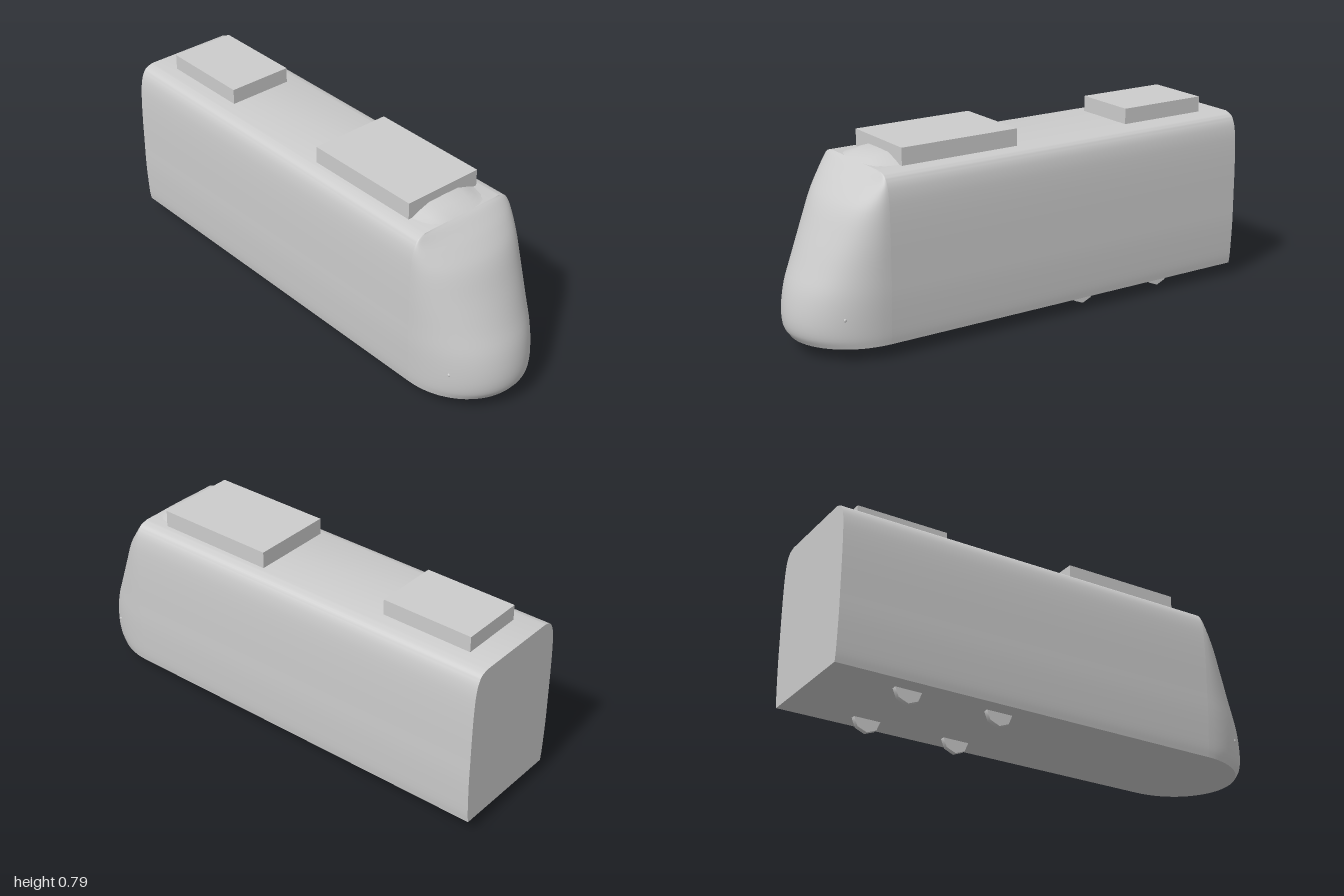
import * as THREE from 'three';
import { toCreasedNormals } from 'three/addons/utils/BufferGeometryUtils.js';

const grey = new THREE.MeshStandardMaterial({ color: 0xcccccc });
grey.name = 'light grey';

const CAB_Z = 0.69;

// Side profile of the shell: half width, height, and how far the nose reaches at that height
const profile = new THREE.CatmullRomCurve3([
  [0.247, 0.055, 0.97], [0.252, 0.09, 0.993], [0.256, 0.15, 1.0], [0.26, 0.25, 0.983],
  [0.26, 0.35, 0.943], [0.26, 0.47, 0.89], [0.257, 0.58, 0.835], [0.251, 0.645, 0.78],
  [0.24, 0.685, 0.737], [0.222, 0.71, 0.708], [0.19, 0.722, CAB_Z],
].map(p => new THREE.Vector3(...p))).getPoints(40);

// Smooth surface through rows of points
function loft(rows) {
  const n = rows[0].length;
  const index = [];
  for (let j = 0; j < rows.length - 1; j++) {
    for (let i = 0; i < n - 1; i++) {
      const a = j * n + i, b = a + 1, c = a + n, d = c + 1;
      index.push(a, c, b, b, c, d);
    }
  }
  const geometry = new THREE.BufferGeometry();
  geometry.setAttribute('position', new THREE.Float32BufferAttribute(rows.flat(2), 3));
  geometry.setIndex(index);
  geometry.computeVertexNormals();
  return geometry;
}

export function createModel() {
  const model = new THREE.Group();
  model.name = 'railcar';

  const add = (name, geometry, x = 0, y = 0, z = 0) => {
    const mesh = new THREE.Mesh(geometry, grey);
    mesh.name = name;
    mesh.position.set(x, y, z);
    model.add(mesh);
    return mesh;
  };

  // Long straight body with rounded shoulders
  const section = new THREE.Shape([
    ...profile.map(p => new THREE.Vector2(p.x, p.y)),
    ...[...profile].reverse().map(p => new THREE.Vector2(-p.x, p.y)),
  ]);
  const body = new THREE.ExtrudeGeometry(section, { depth: CAB_Z + 1, bevelEnabled: false });
  add('body', toCreasedNormals(body, 0.7), 0, 0, -1);

  // Raked nose: half-ellipse plan at every height
  const ring = p => Array.from({ length: 33 }, (_, i) => {
    const a = Math.PI * i / 32;
    return [p.x * Math.cos(a), p.y, CAB_Z + (p.z - CAB_Z) * Math.sin(a)];
  });
  add('nose', loft(profile.map(ring)));
  const floor = new THREE.Shape(ring(profile[0]).map(([x, , z]) => new THREE.Vector2(x, z)));
  add('noseFloor', new THREE.ShapeGeometry(floor).rotateX(Math.PI / 2), 0, profile[0].y, 0);

  // Low fairing that leads from the nose up to the front roof unit: z, half width, crest height
  const fairingRows = [
    [0.692, 0.13, 0.722], [0.67, 0.16, 0.734], [0.64, 0.175, 0.745], [0.6, 0.185, 0.754],
    [0.55, 0.19, 0.758], [0.48, 0.198, 0.758], [0.44, 0.198, 0.752], [0.415, 0.185, 0.718],
  ].map(([z, w, top]) => [1, 0.9, 0.68, 0.4, 0, -0.4, -0.68, -0.9, -1].map(u => {
    const rise = [0, 0.5, 0.85, 0.97, 1][Math.round((1 - Math.abs(u)) * 4.4)] ?? 1;
    return [u * w, 0.718 + (top - 0.718) * rise, z];
  }));
  add('roofFairing', loft(fairingRows));

  // Roof equipment boxes
  add('frontRoofUnit', new THREE.BoxGeometry(0.35, 0.075, 0.52), 0, 0.7545, 0.327);
  add('rearRoofUnit', new THREE.BoxGeometry(0.28, 0.07, 0.394), 0, 0.752, -0.693);

  for (const side of [1, -1]) {
    // Eight-sided wheels, half hidden in the floor
    for (const z of [-0.265, -0.66]) {
      const wheel = new THREE.CylinderGeometry(0.058, 0.058, 0.021, 8).rotateZ(Math.PI / 2);
      add('wheel', toCreasedNormals(wheel, 0.9), side * 0.165, 0.058, z);
    }
    // Tiny headlamps on the nose
    const lamp = add('headlamp', new THREE.SphereGeometry(0.007, 12, 8), side * 0.212, 0.177, 0.864);
    lamp.scale.x = 0.6;
  }
  return model;
}
